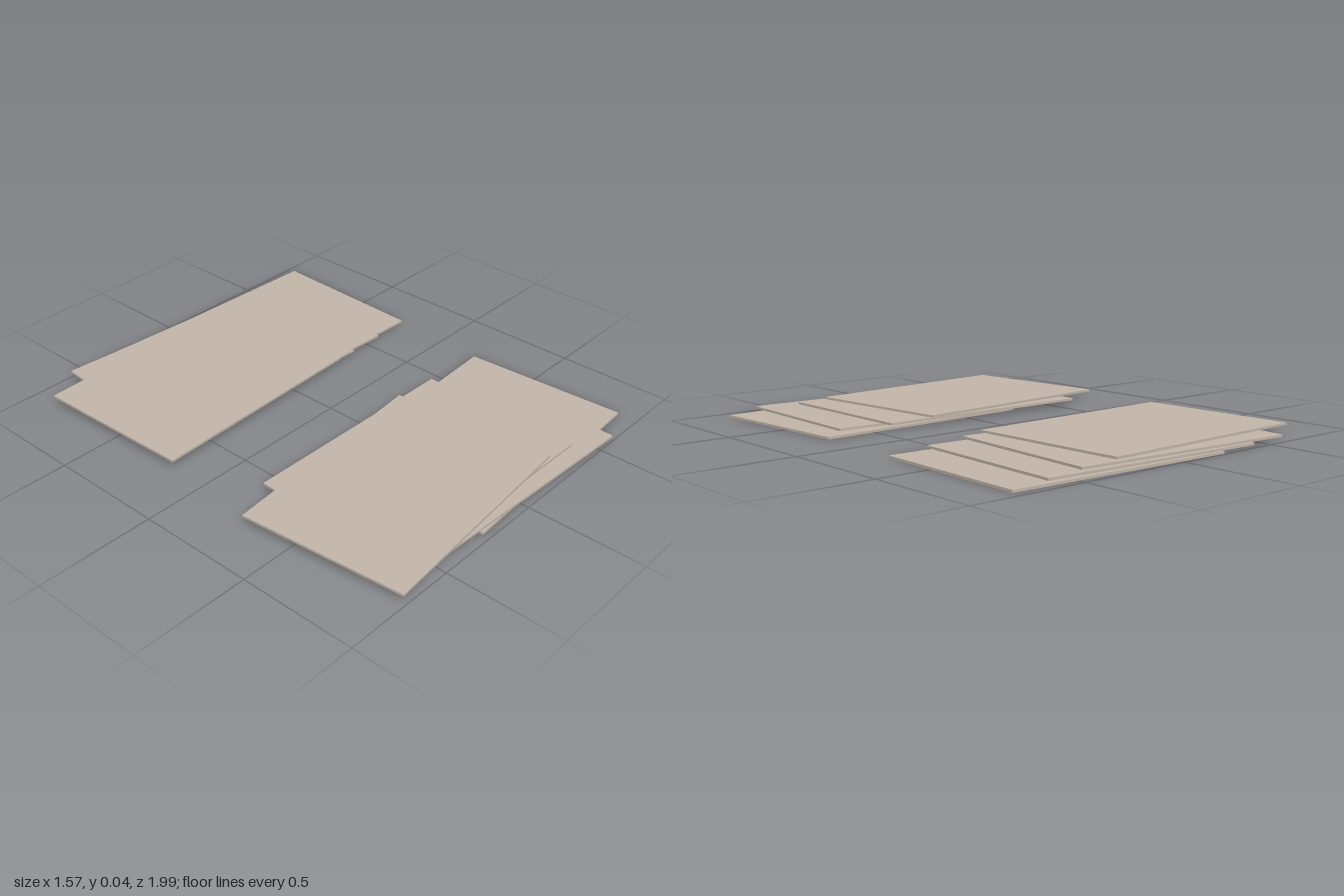
import * as THREE from 'three';

export function createModel() {
  const group = new THREE.Group();
  const tan = new THREE.MeshStandardMaterial({ color: 0xc4b8aa });
  tan.name = 'tan card';
  const black = new THREE.MeshStandardMaterial({ color: 0x080808 });
  black.name = 'black underside';

  const thickness = 0.01, spacing = 0.0105;
  const geometry = new THREE.BoxGeometry(1.014, thickness, 0.715);
  // side order: +x, -x, top, bottom, +z, -z
  const materials = [tan, tan, tan, black, tan, tan];

  // each card, bottom to top: x, z, turn about y
  const stacks = {
    frontStack: [
      [0.241, 0.586, 0.055],
      [0.102, 0.615, -0.044],
      [-0.084, 0.55, -0.01],
      [-0.251, 0.589, 0.089],
    ],
    backStack: [
      [0.266, -0.619, -0.037],
      [0.083, -0.611, -0.059],
      [-0.095, -0.603, -0.0755],
      [-0.236, -0.54, 0.0314],
    ],
  };

  for (const [name, cards] of Object.entries(stacks)) {
    const stack = new THREE.Group();
    stack.name = name;
    cards.forEach(([x, z, turn], i) => {
      const card = new THREE.Mesh(geometry, materials);
      card.name = `card${i + 1}`;
      card.position.set(x, thickness / 2 + i * spacing, z);
      card.rotation.y = turn;
      stack.add(card);
    });
    group.add(stack);
  }
  return group;
}
